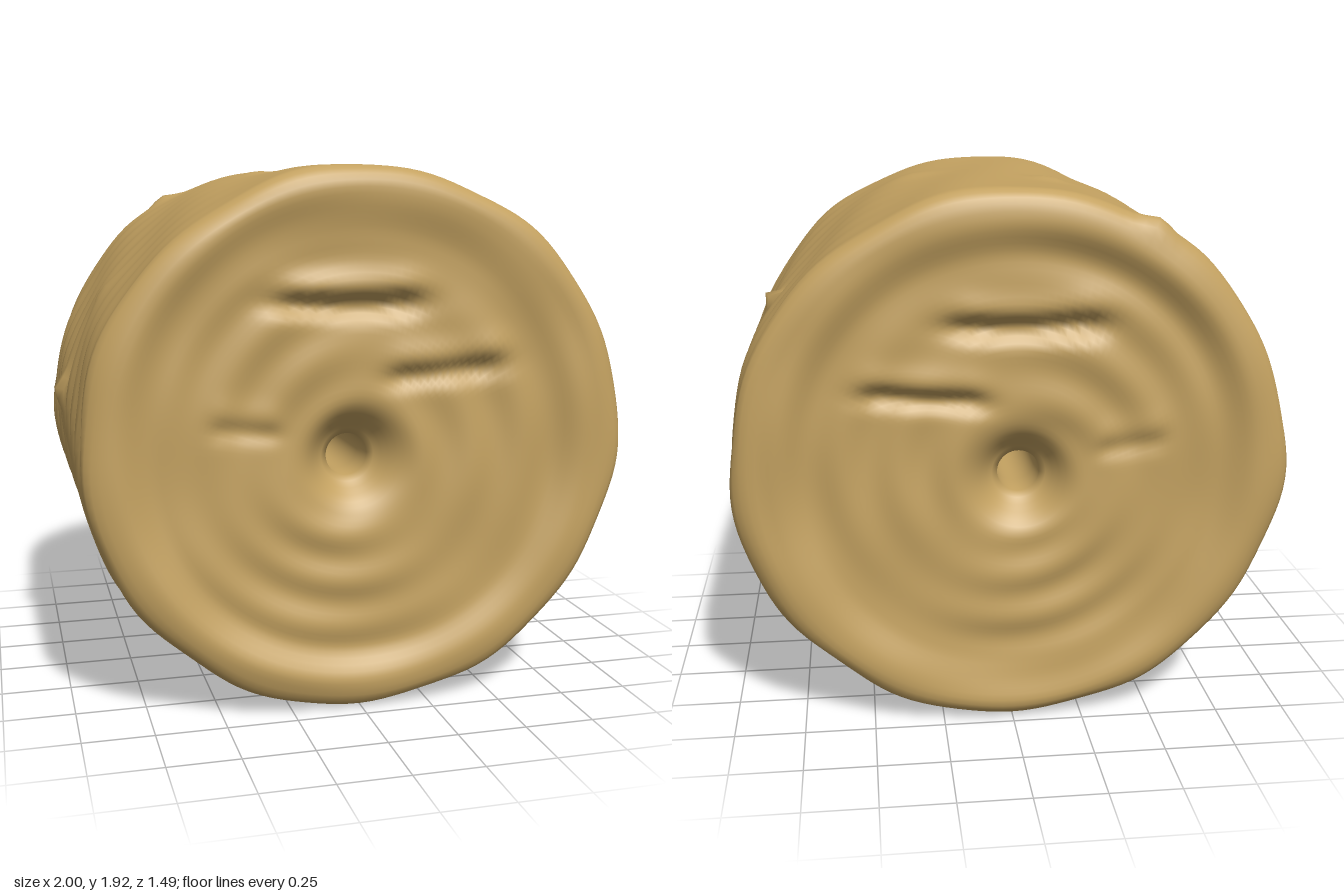
import * as THREE from 'three';
import { mergeVertices } from 'three/addons/utils/BufferGeometryUtils.js';

const CENTER_Y = 0.96;
const HALF = 0.735;

const straw = new THREE.MeshStandardMaterial({ color: 0xc4a261 });
straw.name = 'straw';

const gauss = (d, w) => Math.exp(-(d * d) / (w * w));
const smooth = THREE.MathUtils.smoothstep;

// Depth of an end face below the rim, by radius: raised rim, shallow dish, central dimple
const dish = (r) => 0.035 * (1 - smooth(r, 0.72, 0.86)) + 0.12 * gauss(r - 0.06, 0.09);

// Closed profile: back face outwards, side wall, front face inwards, bore
function baleProfile() {
  const face = [];
  const steps = 38;
  for (let i = 0; i <= steps; i++) {
    const r = 0.075 + (0.88 - 0.075) * (i / steps);
    face.push([r, HALF - dish(r)]);
  }
  for (let i = 1; i <= 5; i++) {
    const t = (i / 5) * Math.PI / 2;
    face.push([0.88 + 0.075 * Math.sin(t), HALF - 0.075 * (1 - Math.cos(t))]);
  }
  const pts = face.map(([r, h]) => new THREE.Vector2(r, -h));
  for (let i = 1; i < 44; i++) {
    pts.push(new THREE.Vector2(0.955, -0.66 + 1.32 * (i / 44)));
  }
  face.reverse().forEach(([r, h]) => pts.push(new THREE.Vector2(r, h)));
  for (let i = 1; i < 8; i++) {
    pts.push(new THREE.Vector2(0.075, 0.615 - 1.23 * (i / 8)));
  }
  pts.push(pts[0].clone());
  return pts;
}

// Pressed grooves in the front face: x, y, half length, depth
const grooves = [[-0.04, 1.46, 0.25, 0.05], [0.32, 1.23, 0.2, 0.035], [-0.4, 1.05, 0.12, 0.015]];
// Loose tufts on the wall: angle, z, height, width
const tufts = [
  [3.02, -0.02, 0.035, 0.05], [-0.04, -0.1, 0.03, 0.05], [0.56, -0.25, 0.05, 0.035],
  [2.1, -0.7, 0.03, 0.06], [1.77, -0.2, 0.015, 0.06], [-0.35, 0.5, 0.02, 0.05],
  [-0.45, 0.0, 0.02, 0.05], [2.6, 0.1, 0.015, 0.06], [1.25, 0.2, 0.012, 0.1],
];

// Uneven, rolled surface
function roughen(geometry) {
  const pos = geometry.attributes.position;
  for (let i = 0; i < pos.count; i++) {
    let x = pos.getX(i), y = pos.getY(i), z = pos.getZ(i);
    const r = Math.hypot(x, y);
    const a = Math.atan2(y, x);

    // Wall: wrapped bands on the flanks, soft lumps, tufts
    const wall = smooth(r, 0.86, 0.955);
    let dr = 0.012 * Math.cos(a) ** 2;
    dr += 0.012 * Math.cos(z * 36 + Math.sin(a * 5)) * Math.cos(a) ** 4;
    dr += 0.005 * Math.sin(a * 7 + z * 3) + 0.004 * Math.sin(a * 13 - z * 5);
    for (const [ta, tz, h, w] of tufts) {
      const da = Math.atan2(Math.sin(a - ta), Math.cos(a - ta));
      dr += h * gauss(da, w) * gauss(z - tz, w);
    }
    const scale = 1 + (wall * dr) / r;

    // Ends: faint spiral windings and grooves
    const end = smooth(Math.abs(z), 0.58, 0.66) * smooth(r, 0.1, 0.25) * (1 - smooth(r, 0.85, 0.95));
    const side = Math.sign(z);
    let dz = 0.008 * Math.sin(r * 34 + a * side) * (0.6 + 0.4 * Math.sin(a * 3 + 1));
    dz += 0.005 * Math.sin(x * 9 + 1) * Math.sin(y * 11);
    for (const [gx, gy, len, depth] of grooves) {
      const dy = y + CENTER_Y - gy;
      const along = gauss(Math.max(0, Math.abs(x - gx) - len * 0.7), len * 0.4);
      dz += along * (0.4 * depth * gauss(dy - 0.06, 0.05) - depth * gauss(dy, 0.035));
    }
    z += side * end * dz;

    // The bore sits slightly off the axis
    const off = 1 - smooth(r, 0.1, 0.8);
    x = x * scale - 0.03 * off;
    y = y * scale - 0.055 * off;
    pos.setXYZ(i, x, y, z - 0.01);
  }
}

export function createModel() {
  const group = new THREE.Group();
  group.name = 'roundBale';

  let geometry = new THREE.LatheGeometry(baleProfile(), 144);
  geometry.rotateX(Math.PI / 2);
  geometry.deleteAttribute('uv');
  geometry.deleteAttribute('normal');
  geometry = mergeVertices(geometry, 1e-4);
  roughen(geometry);
  geometry.computeVertexNormals();

  const bale = new THREE.Mesh(geometry, straw);
  bale.name = 'rolledHay';
  bale.position.y = CENTER_Y;
  group.add(bale);
  return group;
}
